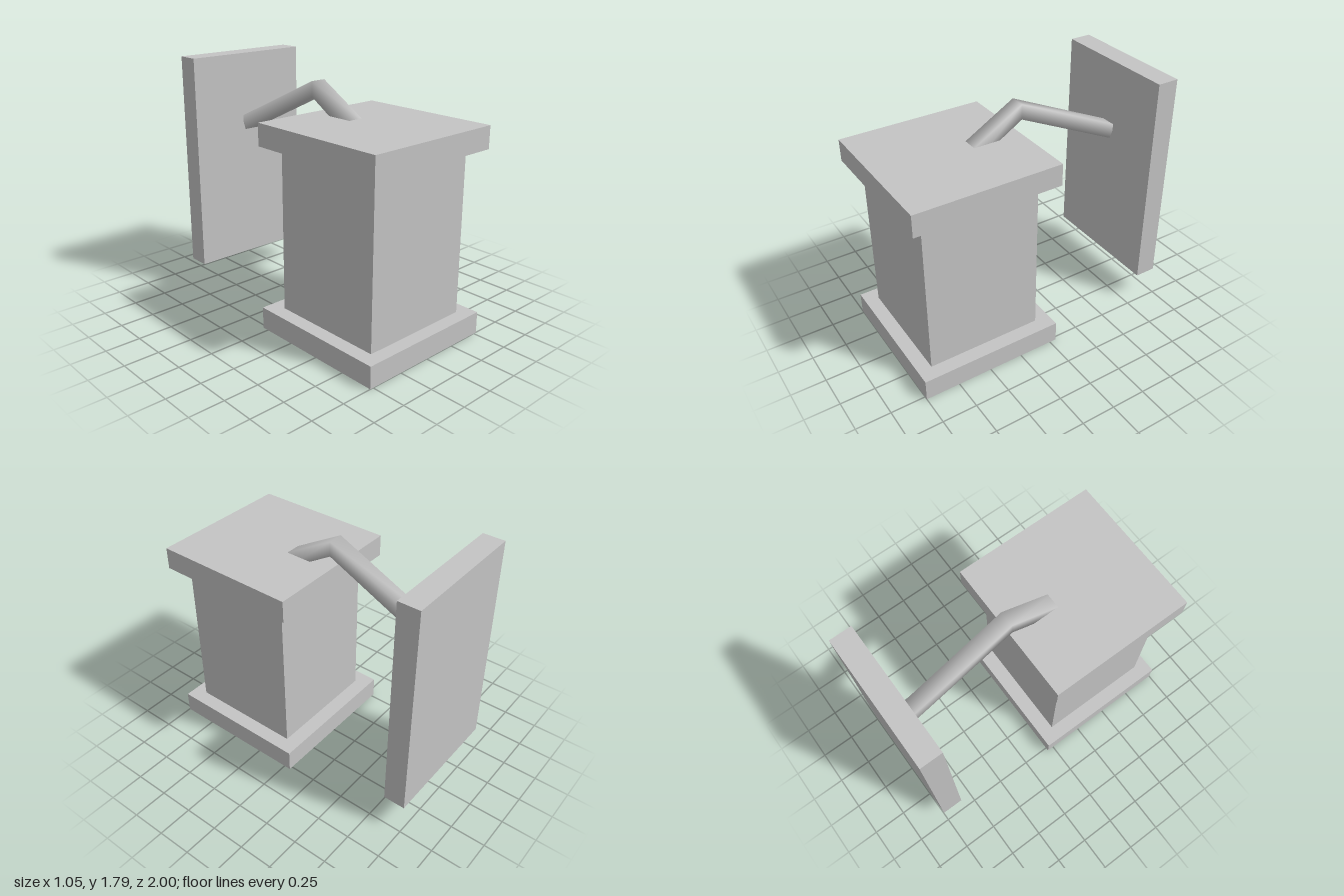
import * as THREE from 'three';

const grey = new THREE.MeshStandardMaterial({ color: 0xc4c4c4, side: THREE.DoubleSide });
grey.name = 'plain grey';

// Box given by its extents, left open underneath
function openBox(name, halfWidth, y0, y1, z0, z1) {
  const g = new THREE.BoxGeometry(2 * halfWidth, y1 - y0, z1 - z0);
  const index = Array.from(g.index.array);
  index.splice(18, 6); // drop the bottom face
  g.setIndex(index);
  g.clearGroups();
  g.translate(0, (y0 + y1) / 2, (z0 + z1) / 2);
  const mesh = new THREE.Mesh(g, grey);
  mesh.name = name;
  return mesh;
}

// Square bar swept through rings; each ring has a top and bottom edge [z, y]
function bentBar(name, halfWidth, rings) {
  const pos = [], index = [];
  for (const [top, bottom] of rings) {
    for (const [x, p] of [[-1, top], [1, top], [1, bottom], [-1, bottom]]) {
      pos.push(x * halfWidth, p[1], p[0]);
    }
  }
  for (let r = 0; r < rings.length - 1; r++) {
    for (let i = 0; i < 4; i++) {
      const a = r * 4 + i, b = r * 4 + (i + 1) % 4;
      index.push(a, b, a + 4, b, b + 4, a + 4);
    }
  }
  const g = new THREE.BufferGeometry();
  g.setAttribute('position', new THREE.Float32BufferAttribute(pos, 3));
  g.setIndex(index);
  g.computeVertexNormals();
  const mesh = new THREE.Mesh(g, grey);
  mesh.name = name;
  return mesh;
}

export function createModel() {
  const model = new THREE.Group();
  model.name = 'pedestalWithPanel';

  // Pedestal
  model.add(openBox('base', 0.525, 0, 0.157, -0.05, 1));
  model.add(openBox('column', 0.42, 0.157, 1.32, 0.06, 0.9));
  model.add(openBox('cap', 0.525, 1.32, 1.478, -0.05, 1));

  // Upright panel behind
  model.add(openBox('backPanel', 0.475, 0.213, 1.795, -1, -0.843));

  // Bent arm from inside the cap to the panel
  model.add(bentBar('arm', 0.056, [
    [[0.37, 1.445], [0.318, 1.357]],
    [[-0.053, 1.69], [-0.053, 1.582]],
    [[-0.862, 1.316], [-0.82, 1.22]],
  ]));
  return model;
}
